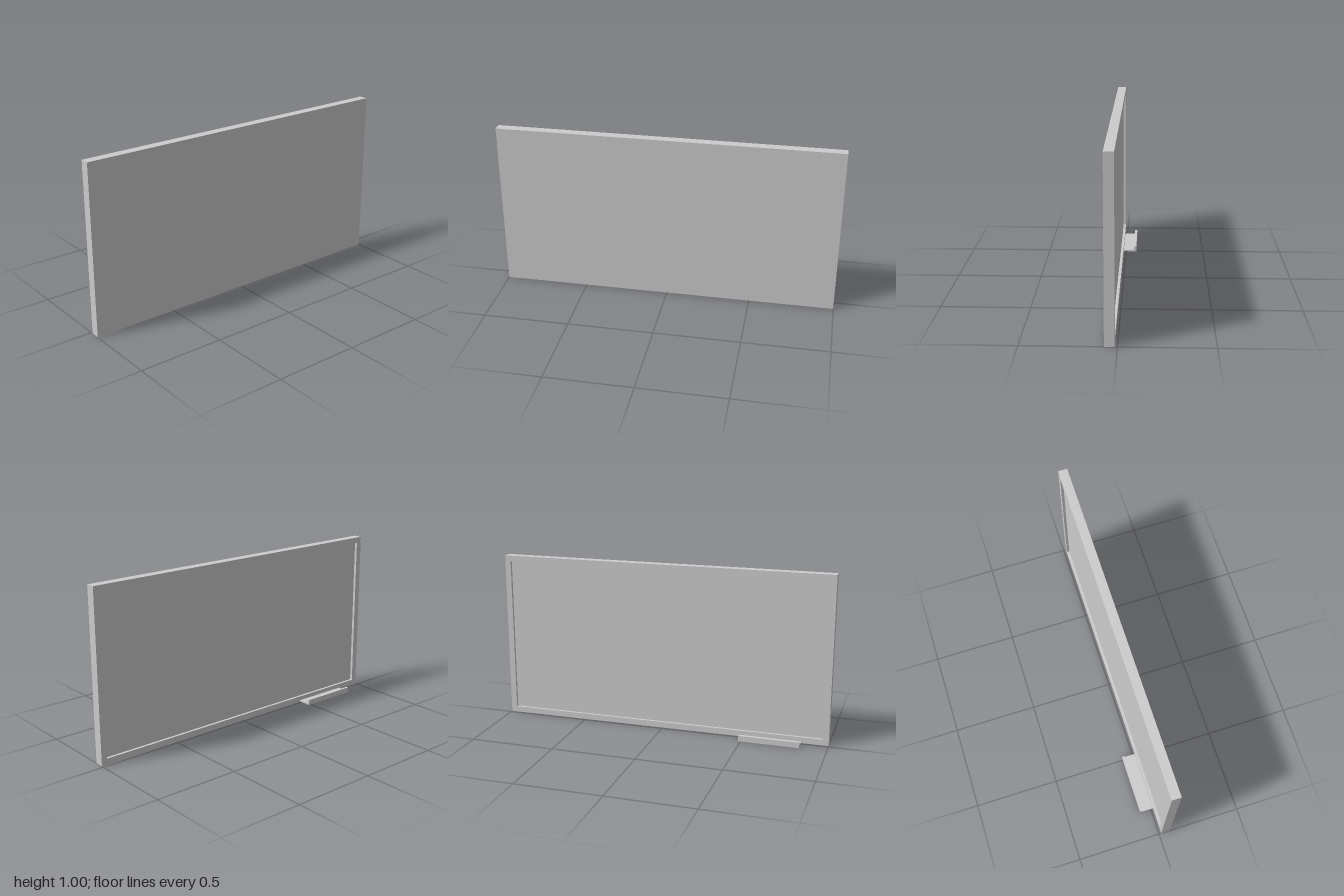
import * as THREE from 'three';

const material = new THREE.MeshStandardMaterial({ color: 0xcccccc });

const W = 2, H = 1, RIM = 0.035;
const FRONT = 0.068, BACK = 0.014, RECESS = 0.016;

function rectangle(Type, x0, y0, x1, y1) {
  const r = new Type();
  r.moveTo(x0, y0).lineTo(x1, y0).lineTo(x1, y1).lineTo(x0, y1).closePath();
  return r;
}

function add(group, name, geometry) {
  const mesh = new THREE.Mesh(geometry, material);
  mesh.name = name;
  group.add(mesh);
  return mesh;
}

export function createModel() {
  const model = new THREE.Group();
  model.name = 'whiteboard';

  // Raised rim around the back of the board
  const rim = rectangle(THREE.Shape, -W / 2, 0, W / 2, H);
  rim.holes.push(rectangle(THREE.Path, -W / 2 + RIM, RIM, W / 2 - RIM, H - RIM));
  add(model, 'backRim', new THREE.ExtrudeGeometry(rim, { depth: RECESS, bevelEnabled: false }))
    .position.z = BACK;

  // Solid panel, flat on the front and recessed within the rim at the back
  const depth = FRONT - BACK - RECESS;
  add(model, 'boardPanel', new THREE.BoxGeometry(W, H, depth))
    .position.set(0, H / 2, FRONT - depth / 2);

  // L-shaped pen tray: profile drawn in (distance behind the board, height)
  const trayLeft = -0.485, trayRight = -0.842;
  const reach = 0.082, lip = 0.016, floor = 0.009, lipTop = 0.033;
  const profile = new THREE.Shape();
  profile.moveTo(0, 0).lineTo(reach, 0).lineTo(reach, lipTop)
    .lineTo(reach - lip, lipTop).lineTo(reach - lip, floor).lineTo(0, floor).closePath();
  const tray = add(model, 'penTray',
    new THREE.ExtrudeGeometry(profile, { depth: trayLeft - trayRight, bevelEnabled: false }));
  tray.rotation.y = Math.PI / 2;
  tray.position.set(trayRight, 0, BACK);

  return model;
}
